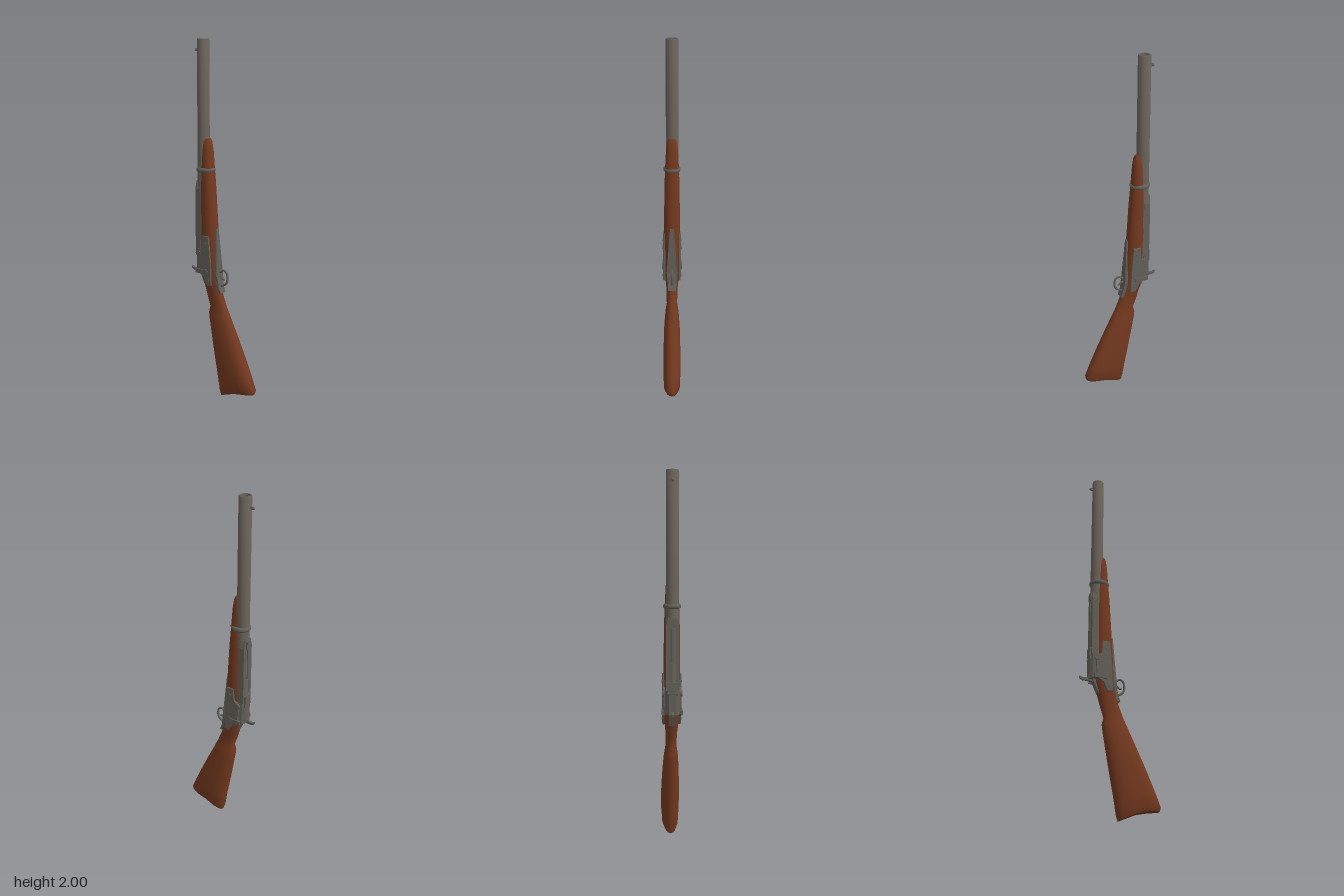
import * as THREE from 'three';
import { toCreasedNormals } from 'three/addons/utils/BufferGeometryUtils.js';

const SIDES = 20;

// Closed loft; row = [yFront, yBack, zFront, zBack, halfWidth, pinch, bump]
function loft(rows) {
  const pos = [], idx = [];
  for (const [yf, yb, zf, zb, w, pinch = 0, bump = 0] of rows) {
    for (let j = 0; j < SIDES; j++) {
      const t = (j / SIDES) * Math.PI * 2, c = Math.cos(t), s = Math.sin(t);
      const x = w * Math.sign(s) * Math.pow(Math.abs(s), 0.8) * (1 - pinch * Math.exp(-9 * c * c));
      const y = yb + (yf - yb) * (c + 1) / 2 + bump * (1 - c * c);
      pos.push(x, y, (zf + zb) / 2 + (zf - zb) / 2 * c);
    }
  }
  const last = (rows.length - 1) * SIDES, mid = pos.length / 3;
  for (const [yf, yb, zf, zb, , , bump = 0] of [rows[0], rows[rows.length - 1]])
    pos.push(0, (yf + yb) / 2 + bump, (zf + zb) / 2);
  for (let j = 0; j < SIDES; j++) {
    const k = (j + 1) % SIDES;
    for (let i = 0; i < last; i += SIDES)
      idx.push(i + j, i + k, i + SIDES + k, i + j, i + SIDES + k, i + SIDES + j);
    idx.push(mid, k, j, mid + 1, last + j, last + k);
  }
  const g = new THREE.BufferGeometry();
  g.setAttribute('position', new THREE.Float32BufferAttribute(pos, 3));
  g.setIndex(idx);
  g.computeVertexNormals();
  return toCreasedNormals(g, 0.8);
}

const outline = pts => new THREE.Shape(pts.map(p => new THREE.Vector2(...p)));

// Side profile of [z, y] points, given a thickness centred on x
function profile(pts, width, bevel = 0) {
  const g = new THREE.ExtrudeGeometry(outline(pts), {
    depth: width - 2 * bevel, bevelEnabled: bevel > 0, bevelSize: bevel, bevelThickness: bevel, bevelSegments: 1 });
  return g.translate(0, 0, bevel - width / 2).rotateY(-Math.PI / 2);
}

// Smooth path of [z, y] points on the centre plane
function wire(pts, r) {
  const curve = new THREE.CatmullRomCurve3(pts.map(([z, y]) => new THREE.Vector3(0, y, z)));
  return new THREE.TubeGeometry(curve, 28, r, 8);
}

export function createModel() {
  const root = new THREE.Group();
  root.name = 'carbine';
  const wood = new THREE.MeshStandardMaterial({ color: 0x74391f });
  wood.name = 'walnut';
  const steel = new THREE.MeshStandardMaterial({ color: 0x6a635a });
  steel.name = 'barrelSteel';
  const iron = new THREE.MeshStandardMaterial({ color: 0x625f58 });
  iron.name = 'lockIron';
  const dark = new THREE.MeshStandardMaterial({ color: 0x1d1b19 });
  dark.name = 'boreShadow';

  const add = (name, geo, mat, x = 0, y = 0, z = 0) => {
    const m = new THREE.Mesh(geo, mat);
    m.name = name;
    m.position.set(x, y, z);
    root.add(m);
    return m;
  };

  // Wooden stock from butt to fore-end tip
  add('stock', loft([
    [0.065, 0.005, 0.212, -0.01, 0.04, 0.15, 0.016],
    [0.085, 0.03, 0.218, -0.018, 0.05, 0.14, 0.012],
    [0.16, 0.13, 0.188, -0.033, 0.053, 0.1],
    [0.27, 0.25, 0.14, -0.055, 0.052, 0.06],
    [0.39, 0.39, 0.085, -0.08, 0.045],
    [0.46, 0.46, 0.052, -0.092, 0.04],
    [0.492, 0.495, 0.038, -0.097, 0.036],
    [0.53, 0.53, 0.02, -0.088, 0.03],
    [0.60, 0.60, -0.008, -0.11, 0.031],
    [0.66, 0.66, -0.022, -0.125, 0.037],
    [0.72, 0.72, -0.032, -0.142, 0.043],
    [0.94, 0.94, -0.047, -0.145, 0.045],
    [1.20, 1.20, -0.063, -0.145, 0.042],
    [1.31, 1.31, -0.072, -0.142, 0.038],
    [1.41, 1.41, -0.079, -0.138, 0.033],
    [1.46, 1.46, -0.086, -0.134, 0.027],
    [1.476, 1.476, -0.093, -0.128, 0.018],
  ]), wood);

  // Hollow barrel: outer wall, muzzle rim and bore
  const wall = [[0.036, 0.8], [0.034, 1.4], [0.033, 1.995], [0.031, 2], [0.024, 2], [0.023, 1.99], [0.023, 1.7]];
  const barrel = new THREE.LatheGeometry(wall.map(p => new THREE.Vector2(...p)), 16);
  add('barrel', toCreasedNormals(barrel, 0.6), steel, 0, 0, -0.137);
  add('boreEnd', new THREE.CylinderGeometry(0.023, 0.023, 0.01, 16), dark, 0, 1.7, -0.137);

  // Front sight
  add('frontSightPost', new THREE.BoxGeometry(0.008, 0.014, 0.018), steel, 0, 1.945, -0.175);
  add('frontSightBead', new THREE.SphereGeometry(0.008, 10, 8), steel, 0, 1.945, -0.183);

  // Band joining barrel and fore-end
  const band = add('barrelBand', new THREE.TorusGeometry(0.042, 0.010, 10, 28), iron, 0, 1.305, -0.122);
  band.rotation.x = Math.PI / 2;
  band.scale.set(0.92, 1.08, 1.3);

  // Faceted receiver around the breech
  const section = [[0.02, 0.176], [0.036, 0.162], [0.044, 0.13], [0.044, 0.095], [0.03, 0.08]];
  const ring = outline([...section, ...section.map(([x, z]) => [-x, z]).reverse()]);
  const receiver = new THREE.ExtrudeGeometry(ring, { depth: 0.13, bevelEnabled: false });
  add('receiver', receiver.rotateX(-Math.PI / 2), iron, 0, 0.73, 0);
  add('breechTang', profile([[-0.10, 0.64], [-0.125, 0.66], [-0.158, 0.735], [-0.12, 0.735]], 0.036), iron);

  // Long breech cover with a slot on the back of the barrel
  const cover = outline([[-0.036, 0.86], [0.036, 0.86], [0.036, 1.2], [0.024, 1.245], [-0.024, 1.245], [-0.036, 1.2]]);
  cover.holes.push(outline([[-0.018, 0.92], [-0.012, 1.19], [0.012, 1.19], [0.018, 0.92]]));
  add('breechCover', new THREE.ExtrudeGeometry(cover, { depth: 0.035, bevelEnabled: false }), iron, 0, 0, -0.169);
  add('rearSight', new THREE.BoxGeometry(0.034, 0.045, 0.02), iron, 0, 1.217, -0.166);
  add('sightLeaf', new THREE.BoxGeometry(0.016, 0.18, 0.008), iron, 0, 1.1, -0.171);
  add('breechCatch', new THREE.BoxGeometry(0.05, 0.05, 0.02), iron, 0, 0.88, -0.167);
  add('breechKnuckle', new THREE.CylinderGeometry(0.014, 0.014, 0.056, 12).rotateZ(Math.PI / 2), iron, 0, 0.845, -0.163);

  // Lock plates, levers and screws on both sides
  for (const side of [1, -1]) {
    const plate = profile([[-0.055, 0.665], [-0.08, 0.66], [-0.105, 0.71], [-0.14, 0.73], [-0.145, 0.85],
      [-0.115, 0.87], [-0.11, 0.94], [-0.073, 0.94], [-0.06, 0.80]], 0.012, 0.002);
    add('lockPlate', plate, iron, side * 0.044, 0, 0);
    add('lockLever', new THREE.BoxGeometry(0.012, 0.024, 0.076), iron, side * 0.05, 0.738, -0.119);
    const screws = [[0.84, -0.14, 0.016], [0.738, -0.09, 0.016], [0.90, -0.09, 0.007], [0.69, -0.073, 0.007]];
    for (const [y, z, r] of screws)
      add('lockScrew', new THREE.CylinderGeometry(r, r, 0.01, 12).rotateZ(Math.PI / 2), iron, side * 0.049, y, z);
  }

  // Hammer with curled spur
  add('hammer', profile([[-0.12, 0.77], [-0.165, 0.765], [-0.182, 0.74], [-0.205, 0.735], [-0.223, 0.743],
    [-0.221, 0.73], [-0.205, 0.722], [-0.18, 0.722], [-0.12, 0.715]], 0.013), iron);

  // Tapered trigger plate following the underside
  const strip = profile([[-0.004, 0.62], [-0.017, 0.66], [-0.027, 0.72], [-0.043, 0.98],
    [-0.056, 0.98], [-0.05, 0.72], [-0.035, 0.62]], 0.05);
  const p = strip.attributes.position;
  for (let i = 0; i < p.count; i++) p.setX(i, p.getX(i) * (p.getY(i) > 0.9 ? 0.45 : p.getY(i) > 0.7 ? 1.2 : 0.9));
  strip.computeVertexNormals();
  add('triggerPlate', strip, iron);

  // Trigger guard and trigger
  add('triggerGuard', wire([[-0.025, 0.655], [0.005, 0.668], [0.022, 0.685], [0.026, 0.715],
    [0.018, 0.742], [-0.002, 0.75], [-0.02, 0.738], [-0.035, 0.74]], 0.006), iron);
  add('trigger', wire([[-0.035, 0.715], [-0.015, 0.71], [0.0, 0.698], [0.01, 0.70]], 0.005), iron);

  return root;
}
